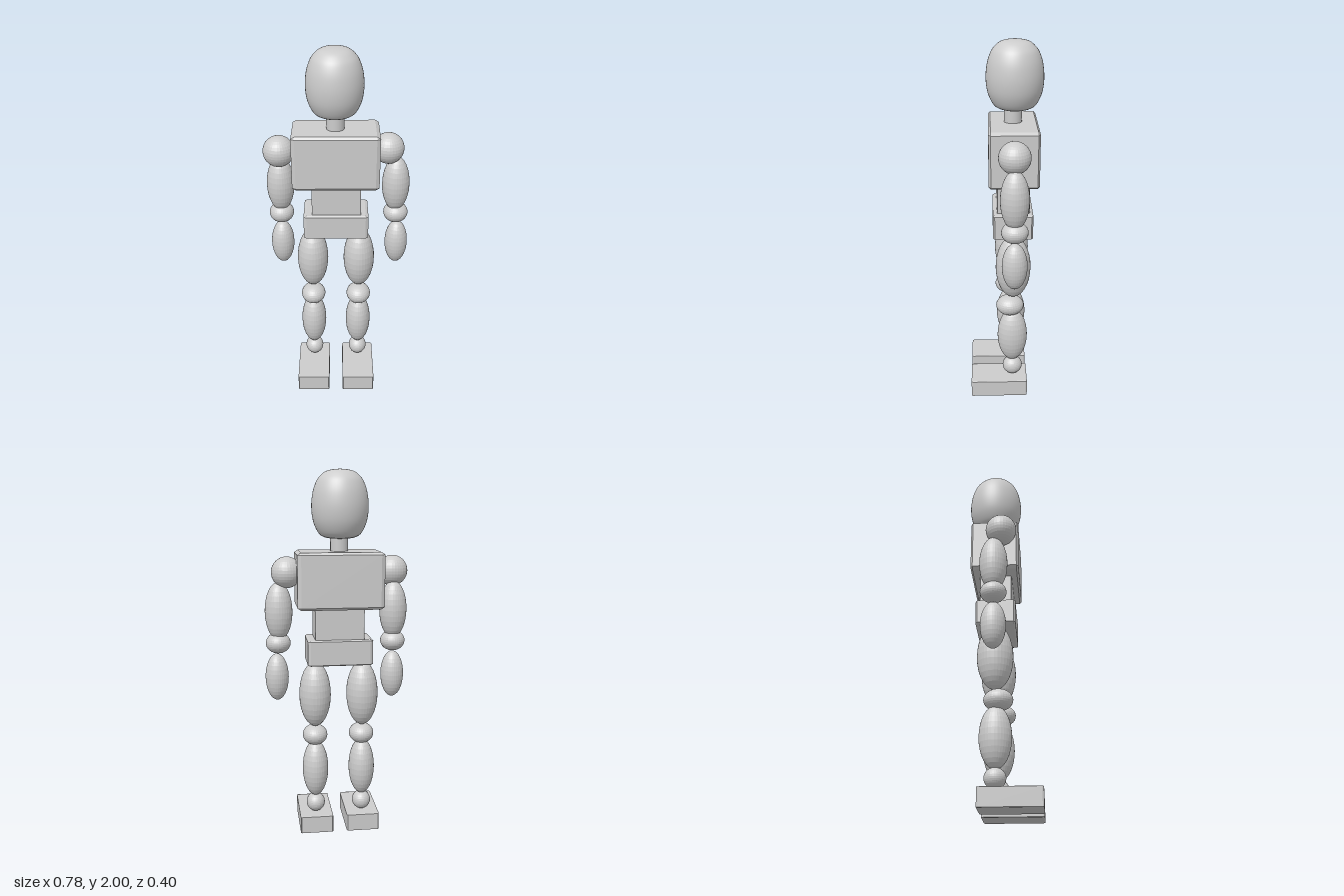
import * as THREE from 'three';
import { ConvexGeometry } from 'three/addons/geometries/ConvexGeometry.js';

const AXIS_X = -0.008; // body midline
const AXIS_Z = -0.04;

export function createModel() {
  const model = new THREE.Group();
  model.name = 'jointedMannequin';
  const grey = new THREE.MeshStandardMaterial({ color: 0xcccccc });
  grey.name = 'plain grey';
  const facetedGrey = grey; // one colour throughout

  function add(parent, name, geometry, x, y, z) {
    const mesh = new THREE.Mesh(geometry, grey);
    mesh.name = name;
    mesh.position.set(x, y, z);
    parent.add(mesh);
    return mesh;
  }

  // Box with every edge chamfered in proportion to its sides
  function chamferBox(w, h, d, b) {
    const points = [];
    const inner = 0.5 - b;
    for (const sx of [-1, 1]) for (const sy of [-1, 1]) for (const sz of [-1, 1]) {
      for (let axis = 0; axis < 3; axis++) {
        const r = [inner, inner, inner];
        r[axis] = 0.5;
        points.push(new THREE.Vector3(sx * r[0] * w, sy * r[1] * h, sz * r[2] * d));
      }
    }
    return new ConvexGeometry(points);
  }

  // Faceted ellipsoid from three radii
  function ellipsoid(rx, ry, rz) {
    const geometry = new THREE.SphereGeometry(1, 32, 16).toNonIndexed();
    geometry.scale(rx, ry, rz);
    geometry.computeVertexNormals();
    return geometry;
  }

  // Head: smooth egg with flattened crown and jaw
  const outline = new THREE.SplineCurve([
    [0, 1.645], [0.055, 1.647], [0.09, 1.656], [0.116, 1.678], [0.141, 1.735],
    [0.15, 1.807], [0.143, 1.88], [0.125, 1.935], [0.104, 1.965], [0.075, 1.988],
    [0.035, 1.998], [0, 2],
  ].map(([r, y]) => new THREE.Vector2(r, y))).getPoints(44);
  outline.forEach((p) => { p.x = Math.max(p.x, 0); });
  add(model, 'head', new THREE.LatheGeometry(outline, 48), -0.013, 0, -0.05);
  add(model, 'neck', new THREE.CylinderGeometry(0.047, 0.047, 0.12, 32), -0.01, 1.62, AXIS_Z);

  // Torso blocks
  add(model, 'chest', chamferBox(0.459, 0.3, 0.262, 0.043), AXIS_X, 1.43, -0.041);
  add(model, 'abdomen', chamferBox(0.264, 0.22, 0.175, 0.02), -0.005, 1.2, AXIS_Z);
  add(model, 'pelvis', chamferBox(0.351, 0.14, 0.214, 0.043), -0.007, 1.045, -0.038);

  // Arms: the two sides are posed slightly differently
  const arms = [
    { side: 'right', shoulder: [-0.306, 0], upper: -0.306, elbow: -0.306, fore: -0.306 },
    { side: 'left', shoulder: [0.27, -0.04], upper: 0.316, elbow: 0.321, fore: 0.33 },
  ];
  for (const { side, shoulder, upper, elbow, fore } of arms) {
    const arm = new THREE.Group();
    arm.name = side + 'Arm';
    model.add(arm);
    add(arm, 'shoulder', ellipsoid(0.083, 0.083, 0.083), shoulder[0], 1.47, shoulder[1]);
    add(arm, 'upperArm', ellipsoid(0.074, 0.157, 0.075), upper, 1.262, AXIS_Z);
    add(arm, 'elbow', ellipsoid(0.067, 0.056, 0.07), elbow, 1.09, AXIS_Z);
    add(arm, 'forearm', ellipsoid(0.063, 0.129, 0.067), fore, 0.902, AXIS_Z);
  }

  // Legs
  for (const [side, x] of [['right', -0.139], ['left', 0.123]]) {
    const leg = new THREE.Group();
    leg.name = side + 'Leg';
    model.add(leg);
    add(leg, 'thigh', ellipsoid(0.087, 0.182, 0.096), x, 0.796, AXIS_Z);
    add(leg, 'knee', ellipsoid(0.069, 0.057, 0.077), x, 0.557, -0.023);
    add(leg, 'calf', ellipsoid(0.072, 0.163, 0.084), x, 0.363, -0.037);
    add(leg, 'ankle', ellipsoid(0.052, 0.053, 0.056), x, 0.157, -0.038);
    add(leg, 'foot', chamferBox(0.184, 0.1, 0.32, 0.025), x, 0.05, 0.04);
  }
  return model;
}
